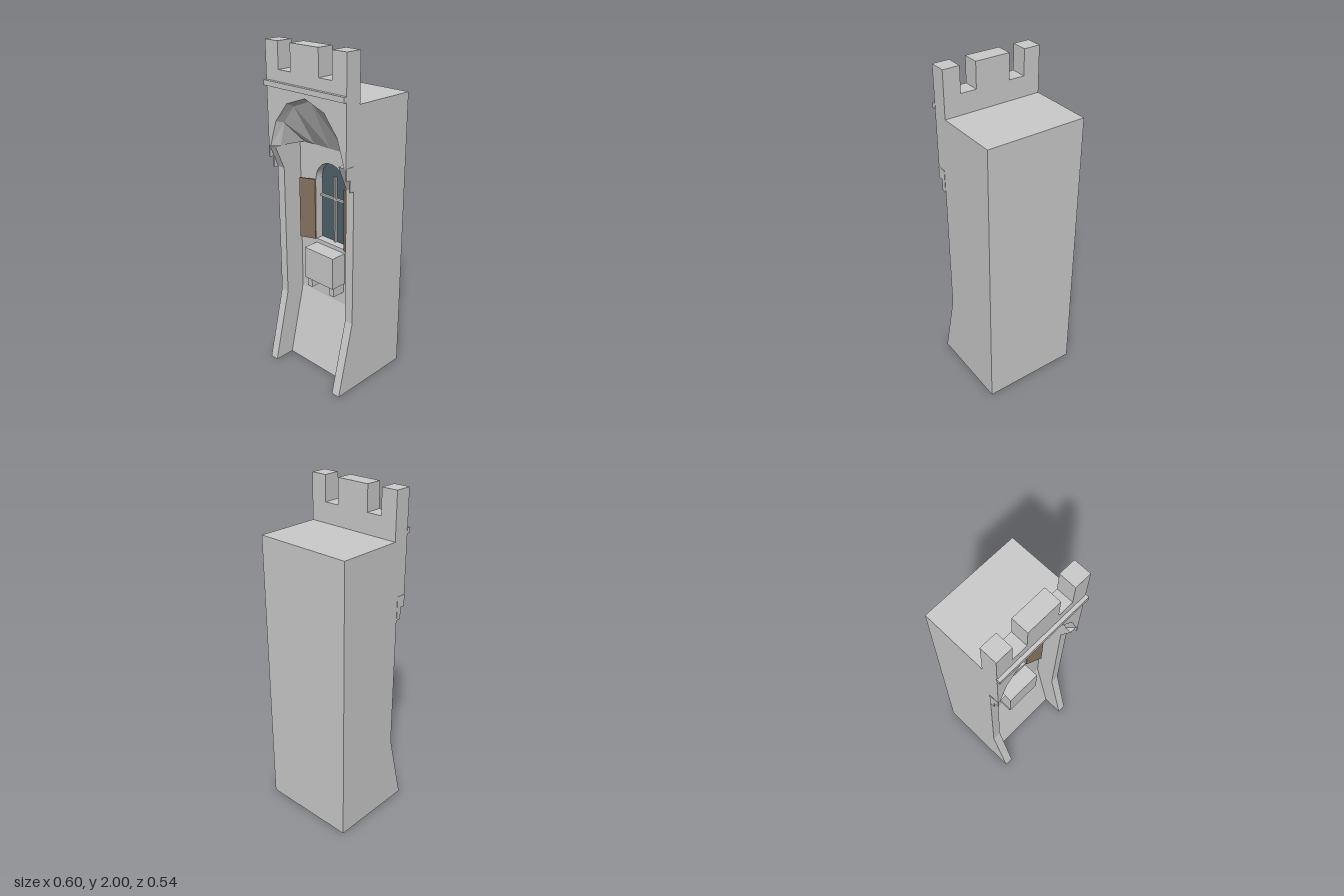
import * as THREE from 'three';

const stone = new THREE.MeshStandardMaterial({ color: 0xcccccc, flatShading: true, side: THREE.DoubleSide });
const glass = new THREE.MeshStandardMaterial({ color: 0x4f616b, side: THREE.DoubleSide });
const wood = new THREE.MeshStandardMaterial({ color: 0x83715c, side: THREE.DoubleSide });

const W = 0.3;       // half width of the tower
const PIER = 0.245;  // inner face of the piers
const WALL = 0.03;   // z of the recessed wall
const SPRING = 1.41; // height where the big arch starts

const polygon = pts => new THREE.Shape(pts.map(([x, y]) => new THREE.Vector2(x, y)));
const v = (x, y, z) => new THREE.Vector3(x, y, z);

// Strip of quads between two rows of points
function loft(a, b) {
  const pts = [];
  for (let i = 0; i < a.length - 1; i++) pts.push(a[i], b[i], b[i + 1], a[i], b[i + 1], a[i + 1]);
  const g = new THREE.BufferGeometry().setFromPoints(pts);
  g.computeVertexNormals();
  return g;
}

// (z, y) profile, extruded from x0 to x1, or flat when x0 equals x1
function sideProfile(pts, x0, x1) {
  const g = x0 === x1
    ? new THREE.ShapeGeometry(polygon(pts))
    : new THREE.ExtrudeGeometry(polygon(pts), { depth: x1 - x0, bevelEnabled: false });
  return g.rotateY(-Math.PI / 2).translate(x1, 0, 0);
}

export function createModel() {
  const model = new THREE.Group();
  const add = (name, geometry, material = stone) => {
    const mesh = new THREE.Mesh(geometry, material);
    mesh.name = name;
    model.add(mesh);
    return mesh;
  };
  const box = (name, x0, x1, y0, y1, z0, z1, material) =>
    add(name, new THREE.BoxGeometry(x1 - x0, y1 - y0, z1 - z0)
      .translate((x0 + x1) / 2, (y0 + y1) / 2, (z0 + z1) / 2), material);

  // Shell of the tower, open underneath
  const row = (x, pts) => pts.map(([z, y]) => v(x, y, z));
  const backAndTop = [[-0.27, 0], [-0.27, 1.73], [0.12, 1.73]];
  add('backAndRoof', loft(row(-W, backAndTop), row(W, backAndTop)));
  const slope = [[0.14, 0], [WALL, 0.455]];
  add('slopedBase', loft(row(-W, slope), row(W, slope)));

  // Rounded window opening
  const opening = new THREE.Shape();
  opening.moveTo(-0.115, 0.82);
  opening.lineTo(0.115, 0.82);
  opening.lineTo(0.115, 1.205);
  opening.absarc(0, 1.205, 0.115, 0, Math.PI, false);
  opening.closePath();
  const wall = polygon([[-W, 0.455], [W, 0.455], [W, SPRING], [-W, SPRING]]);
  wall.holes.push(opening);
  add('recessedWall', new THREE.ShapeGeometry(wall, 16).translate(0, 0, WALL));
  const rim = opening.getPoints(16);
  const rimAt = z => rim.map(p => v(p.x, p.y, z));
  add('windowReveal', loft(rimAt(WALL), rimAt(-0.02)));
  add('windowPane', new THREE.ShapeGeometry(opening, 16).translate(0, 0, -0.02), glass);
  box('windowUpright', -0.006, 0.006, 0.82, 1.23, -0.02, -0.005);
  box('windowCrossbar', -0.115, 0.115, 1.088, 1.1, -0.02, -0.005);

  // Mirrored sides
  for (const s of [-1, 1]) {
    const side = s < 0 ? 'right' : 'left';
    const span = (a, b) => (s < 0 ? [-b, -a] : [a, b]);
    add(side + 'Wall', sideProfile([[-0.27, 0], [0.14, 0], [WALL, 0.455], [WALL, SPRING],
      [0.22, SPRING], [0.22, 1.73], [-0.27, 1.73]], s * W, s * W));
    add(side + 'Pier', sideProfile([[0.14, 0], [0.27, 0], [0.16, 0.455], [0.16, SPRING],
      [WALL, SPRING], [WALL, 0.455]], ...span(PIER, W)));
    add(side + 'Corbel', sideProfile([[0.16, 1.27], [0.22, SPRING], [0.16, SPRING]], ...span(PIER, W)));
    add(side + 'CorbelPlate', sideProfile([[0.16, 1.27], [0.19, 1.27], [0.19, 1.34], [0.22, 1.34],
      [0.22, SPRING], [0.16, SPRING]], ...span(0.295, 0.302)));

    // Open shutter, outer edge swung forward
    const shutter = polygon([[0.115, WALL], [0.21, 0.07], [0.207, 0.078], [0.115, 0.04]]
      .map(([x, z]) => [s * x, -z]));
    add(side + 'Shutter', new THREE.ExtrudeGeometry(shutter, { depth: 0.38, bevelEnabled: false })
      .rotateX(-Math.PI / 2).translate(0, 0.82, 0), wood);

    box(side + 'BoxBracket', ...span(0.072, 0.108), 0.535, 0.595, WALL, 0.115);
  }

  // Box below the window
  box('windowBox', -0.115, 0.115, 0.595, 0.795, WALL, 0.13);

  // Arched hood: front face, chamfer and sloping vault
  const mirrored = half => [...half.map(([x, y]) => [-x, y]), ...half.slice(0, -1).reverse()];
  const outer = mirrored([[0.285, SPRING], [0.235, 1.56], [0.14, 1.675], [0, 1.725]]);
  const inner = mirrored([[PIER, SPRING], [0.21, 1.55], [0.127, 1.655], [0, 1.705]]);
  const at = (pts, z) => pts.map(([x, y]) => v(x, y, z));
  add('hoodFront', new THREE.ShapeGeometry(polygon(
    [[-W, SPRING], ...outer, [W, SPRING], [W, 1.75], [-W, 1.75]])).translate(0, 0, 0.22));
  add('archChamfer', loft(at(outer, 0.22), at(inner, 0.18)));
  add('archVault', loft(at(inner, 0.18), inner.map(([x]) => v(x, SPRING, WALL))));

  // Battlements and string course
  const parapet = polygon([[-W, 1.75], [W, 1.75], [W, 2], [0.2, 2], [0.2, 1.85], [0.105, 1.85], [0.105, 2],
    [-0.105, 2], [-0.105, 1.85], [-0.2, 1.85], [-0.2, 2], [-W, 2]]);
  add('battlements', new THREE.ExtrudeGeometry(parapet, { depth: 0.1, bevelEnabled: false }).translate(0, 0, 0.12));
  const foot = [[0.12, 1.73], [0.12, 1.75]];
  add('parapetFoot', loft(row(-W, foot), row(W, foot)));
  for (const s of [-1, 1]) {
    add('parapetFootEnd', sideProfile([[0.12, 1.73], [0.22, 1.73], [0.22, 1.75], [0.12, 1.75]], s * W, s * W));
  }
  box('stringCourse', -0.302, 0.302, 1.755, 1.785, 0.215, 0.24);

  return model;
}
